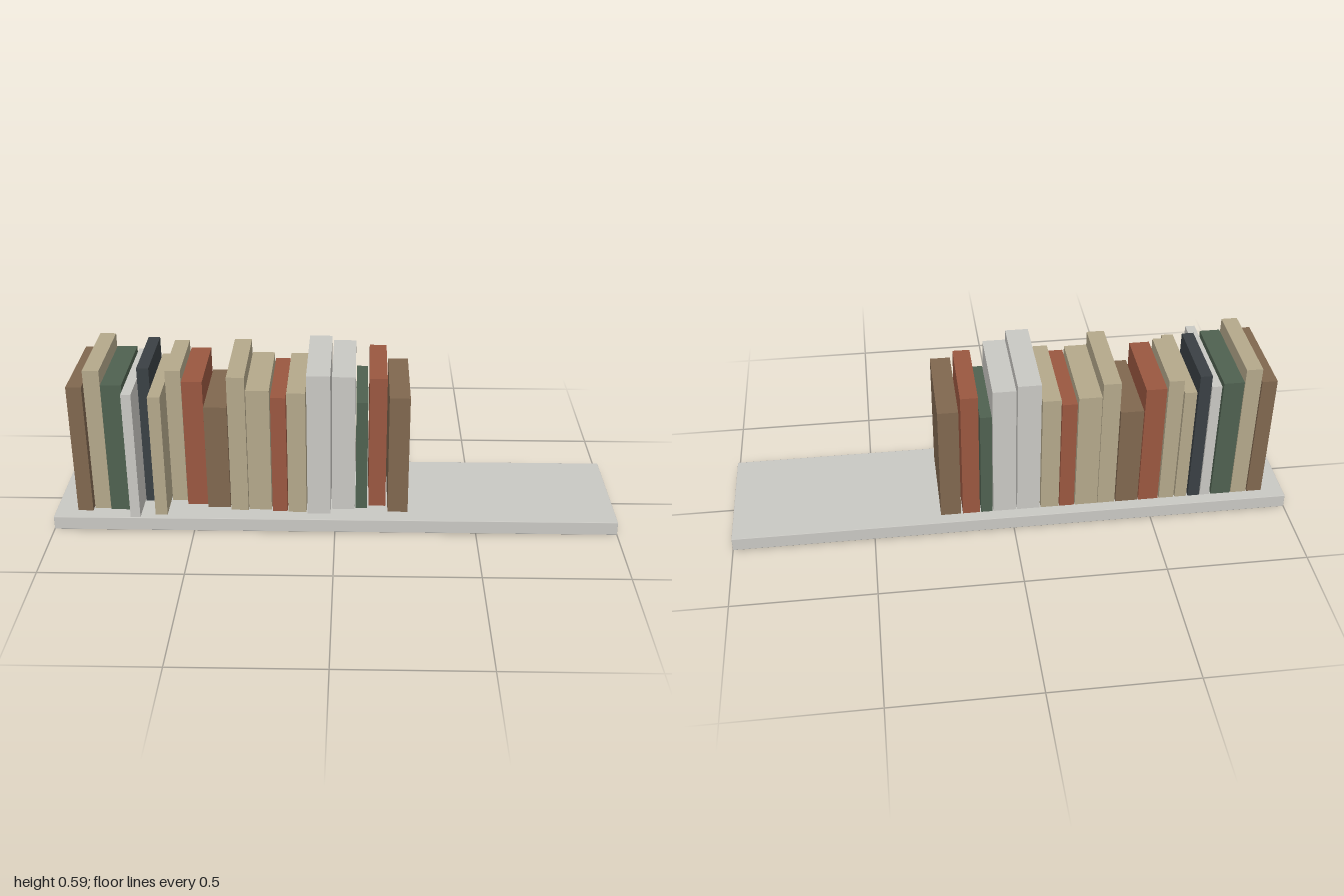
import * as THREE from 'three';
import { RoundedBoxGeometry } from 'three/addons/geometries/RoundedBoxGeometry.js';

const COLORS = {
  stone: 0xc9c8c3, brown: 0x80674f, tan: 0xb4a88b,
  green: 0x4f6150, red: 0x9a5740, charcoal: 0x3a4044,
};

// colour, left edge x, right edge x, top y, front z
const BOOKS = [
  ['brown', -0.92, -0.866, 0.537, 0.175],
  ['tan', -0.862, -0.805, 0.591, 0.158],
  ['green', -0.803, -0.731, 0.541, 0.165],
  ['stone', -0.725, -0.69, 0.531, 0.218],
  ['charcoal', -0.687, -0.645, 0.577, 0.10],
  ['tan', -0.639, -0.596, 0.513, 0.198],
  ['tan', -0.591, -0.537, 0.566, 0.095],
  ['red', -0.532, -0.46, 0.537, 0.122],
  ['brown', -0.457, -0.376, 0.45, 0.143],
  ['tan', -0.372, -0.31, 0.572, 0.16],
  ['tan', -0.308, -0.227, 0.521, 0.155],
  ['red', -0.223, -0.17, 0.499, 0.165],
  ['tan', -0.167, -0.102, 0.519, 0.17],
  ['stone', -0.098, -0.016, 0.588, 0.18],
  ['stone', -0.011, 0.07, 0.571, 0.146],
  ['green', 0.073, 0.114, 0.47, 0.138],
  ['red', 0.119, 0.18, 0.554, 0.121],
  ['brown', 0.187, 0.259, 0.5, 0.162],
];

export function createModel() {
  const group = new THREE.Group();
  group.name = 'bookshelf';

  const materials = {};
  for (const [name, color] of Object.entries(COLORS)) {
    materials[name] = new THREE.MeshStandardMaterial({ color });
    materials[name].name = name;
  }

  // Long board with barely eased edges
  const shelf = new THREE.Mesh(new RoundedBoxGeometry(2, 0.05, 0.44, 1, 0.002), materials.stone);
  shelf.name = 'shelf';
  shelf.position.y = 0.025;
  group.add(shelf);

  // Row of books, aligned at the back
  const bottom = 0.052, back = -0.179;
  const books = new THREE.Group();
  books.name = 'books';
  BOOKS.forEach(([color, x0, x1, top, front], i) => {
    const book = new THREE.Mesh(
      new THREE.BoxGeometry(x1 - x0, top - bottom, front - back), materials[color]);
    book.name = `book${i + 1}`;
    book.position.set((x0 + x1) / 2, (top + bottom) / 2, (front + back) / 2);
    books.add(book);
  });
  group.add(books);
  return group;
}
